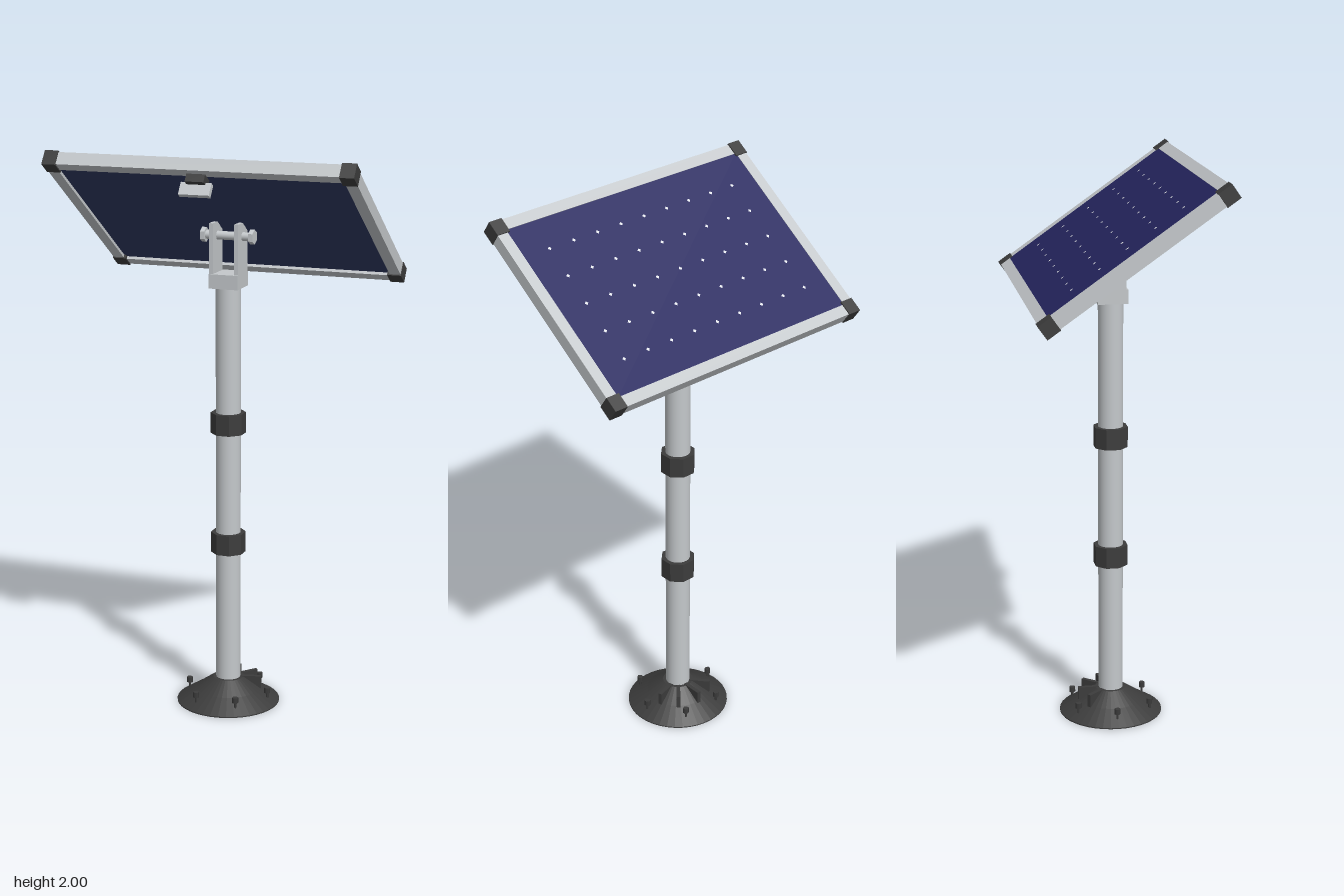
import * as THREE from 'three';

const mat = (name, color, extra = {}) => {
  const m = new THREE.MeshStandardMaterial({ color, ...extra });
  m.name = name;
  return m;
};

export function createModel() {
  const aluminium = mat('aluminium', 0xc4c8cb);
  const black = mat('black plastic', 0x3c3c3c);
  const blue = mat('cell blue', 0x25255f);
  const navy = mat('backsheet navy', 0x2f3860);
  const white = mat('cell gap white', 0xe4e6ea);

  const model = new THREE.Group();
  model.name = 'solarPanelOnPole';

  const add = (parent, name, geometry, material, x = 0, y = 0, z = 0) => {
    const mesh = new THREE.Mesh(geometry, material);
    mesh.name = name;
    mesh.position.set(x, y, z);
    parent.add(mesh);
    return mesh;
  };
  const box = (parent, name, m, w, h, d, x, y, z) =>
    add(parent, name, new THREE.BoxGeometry(w, h, d), m, x, y, z);

  // Base: flared foot
  const foot = [[0, 0], [0.185, 0], [0.185, 0.004], [0.115, 0.048], [0.055, 0.09], [0, 0.09]]
    .map(([r, y]) => new THREE.Vector2(r, y));
  add(model, 'foot', new THREE.LatheGeometry(foot, 40).toNonIndexed(), black)
    .geometry.computeVertexNormals();

  // Anchor bolts in a ring
  for (let i = 0; i < 6; i++) {
    const a = i * Math.PI / 3, x = 0.15 * Math.cos(a), z = 0.15 * Math.sin(a);
    add(model, 'anchorBoltHead', new THREE.CylinderGeometry(0.011, 0.011, 0.02, 6).toNonIndexed(), black, x, 0.053, z);
    add(model, 'anchorBoltShank', new THREE.CylinderGeometry(0.004, 0.004, 0.04, 6), black, x, 0.03, z);
  }

  // Stiffening ribs fanned around the back of the foot
  for (const deg of [15, 50, 90, 130]) {
    const a = deg * Math.PI / 180;
    const rib = box(model, 'footRib', black, 0.085, 0.06, 0.014,
      0.077 * Math.cos(a), 0.062, -0.077 * Math.sin(a));
    rib.rotation.y = a;
  }

  // Pole with two clamp bands
  add(model, 'pole', new THREE.CylinderGeometry(0.044, 0.044, 1.45, 32), aluminium, 0, 0.805, 0);
  for (const y of [0.6, 1.038]) {
    const band = new THREE.CylinderGeometry(0.062, 0.062, 0.074, 8).rotateY(Math.PI / 8).toNonIndexed();
    band.computeVertexNormals();
    add(model, 'poleBand', band, black, 0, y, 0);
  }

  // Fork bracket
  box(model, 'bracketBase', aluminium, 0.106, 0.05, 0.106, 0, 1.545, 0);
  for (const s of [-1, 1]) {
    box(model, 'bracketPlate', aluminium, 0.014, 0.178, 0.094, s * 0.046, 1.656, 0);
    // Hexagonal ends of the pivot
    const hex = new THREE.CylinderGeometry(0.026, 0.026, 0.016, 6)
      .rotateY(Math.PI / 6).rotateZ(Math.PI / 2).toNonIndexed();
    hex.computeVertexNormals();
    add(model, 'pivotNut', hex, aluminium, s * 0.088, 1.698, 0);
  }
  add(model, 'pivotRod', new THREE.CylinderGeometry(0.015, 0.015, 0.17, 20).rotateZ(Math.PI / 2),
    aluminium, 0, 1.698, 0);

  // Tilted panel, its cells facing up and back
  const panel = new THREE.Group();
  panel.name = 'panel';
  panel.position.set(0, 1.76, 0);
  panel.rotation.x = -35.1 * Math.PI / 180;
  model.add(panel);

  const X = 0.543, Z = 0.376, railH = 0.046, railW = 0.04;
  box(panel, 'cellSheet', blue, 1.01, 0.012, 0.676, 0, 0.0155, 0);
  box(panel, 'backSheet', navy, 1.01, 0.022, 0.676, 0, -0.0015, 0);
  for (const s of [-1, 1]) {
    box(panel, 'longRail', aluminium, 2 * X - 0.02, railH, railW, 0, 0, s * (Z - railW / 2));
    box(panel, 'shortRail', aluminium, railW, railH, 2 * (Z - railW), s * (X - railW / 2), 0, 0);
    for (const t of [-1, 1])
      box(panel, 'cornerCap', black, 0.05, 0.054, 0.054, s * (X + 0.002 - 0.025), 0, t * (Z + 0.003 - 0.027));
  }

  // Small diamonds where four cells meet
  for (let i = -4; i <= 4; i++)
    for (let j = -2; j <= 2; j++)
      add(panel, 'cellGap', new THREE.CircleGeometry(0.007, 4).rotateX(-Math.PI / 2), white,
        i * 0.1, 0.0225, j * 0.112);

  // Sensor mount hanging under the upper edge
  box(panel, 'mountBlock', black, 0.066, 0.03, 0.046, 0, -0.037, 0.33);
  box(panel, 'mountPlate', aluminium, 0.108, 0.046, 0.018, 0, -0.067, 0.325);

  return model;
}
